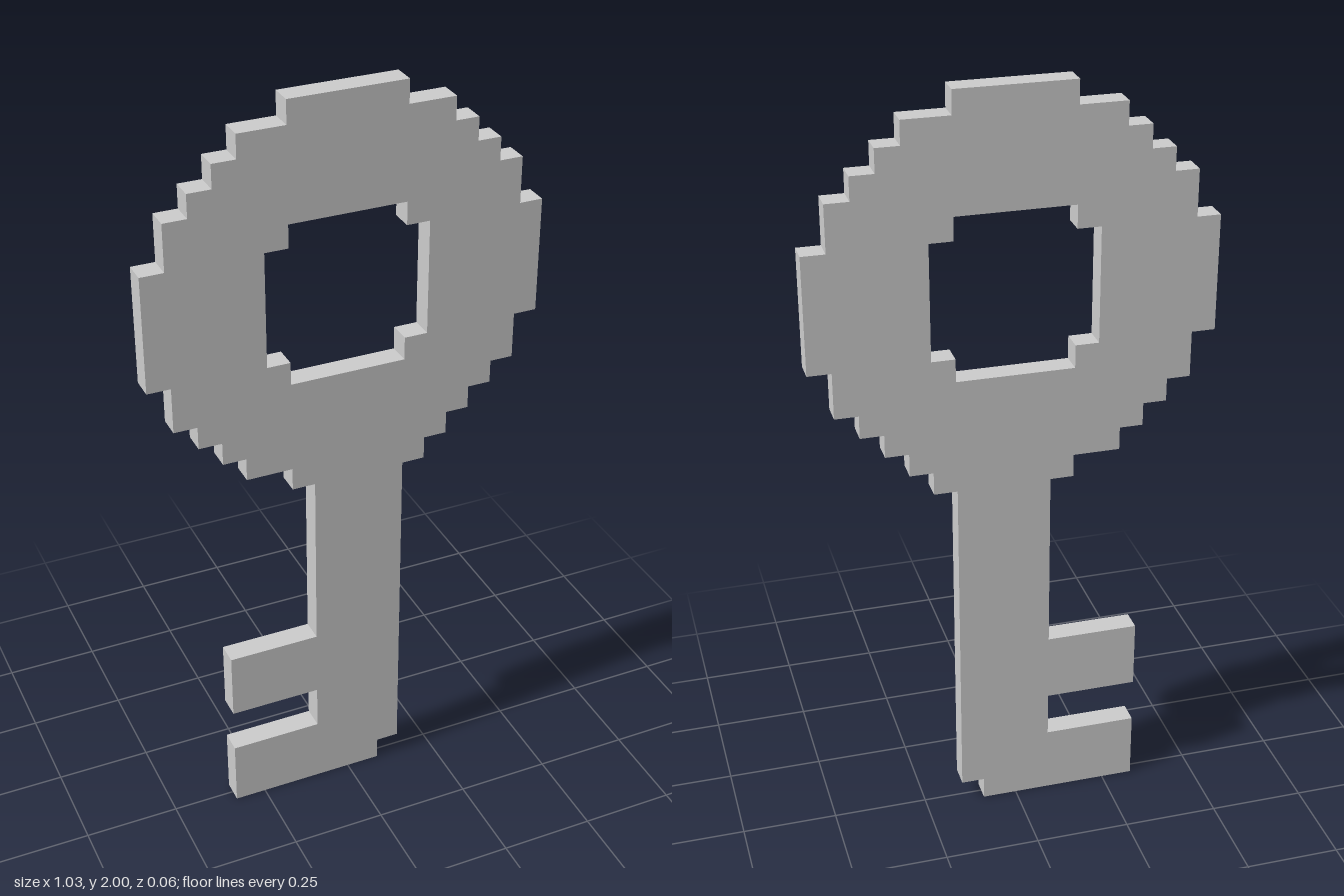
import * as THREE from 'three';

const CELL = 2 / 33; // the key is drawn on a 17 x 33 pixel grid
const COLUMNS = 17;

// Stepped outline: turns alternate x, y, x, y... each entry changes one coordinate.
function steppedPath(turns, path) {
  let [x, y] = turns;
  const put = (move) => path[move]((x - COLUMNS / 2) * CELL, y * CELL);
  put('moveTo');
  turns.slice(2).forEach((value, i) => {
    if (i % 2 === 0) x = value;
    else y = value;
    put('lineTo');
  });
  path.closePath();
  return path;
}

export function createModel() {
  const group = new THREE.Group();
  group.name = 'pixelKey';

  const outline = steppedPath([
    3, 0, 10, 1, 11, 16,                                 // foot and right side of shaft
    12, 17, 13, 18, 14, 19, 15, 20, 16, 22, 17, 27,      // bow, lower right
    16, 29, 15, 30, 14, 31, 13, 32, 11, 33,              // bow, upper right
    6, 32, 4, 31, 3, 30, 2, 29, 1, 27,                   // bow, upper left
    0, 22, 1, 20, 2, 19, 3, 18, 4, 17, 6, 16,            // bow, lower left
    7, 8, 3, 5, 7, 3, 3,                                 // left side of shaft and teeth
  ], new THREE.Shape());

  // Opening in the bow, with notched corners
  outline.holes.push(steppedPath([
    6, 21, 11, 22, 12, 27, 11, 28, 6, 27, 5, 22, 6,
  ], new THREE.Path()));

  const geometry = new THREE.ExtrudeGeometry(outline, { depth: CELL, bevelEnabled: false });
  geometry.translate(0, 0, -CELL / 2);

  const key = new THREE.Mesh(
    geometry,
    new THREE.MeshStandardMaterial({ color: 0xcccccc, flatShading: true }),
  );
  key.name = 'key';
  group.add(key);
  return group;
}
